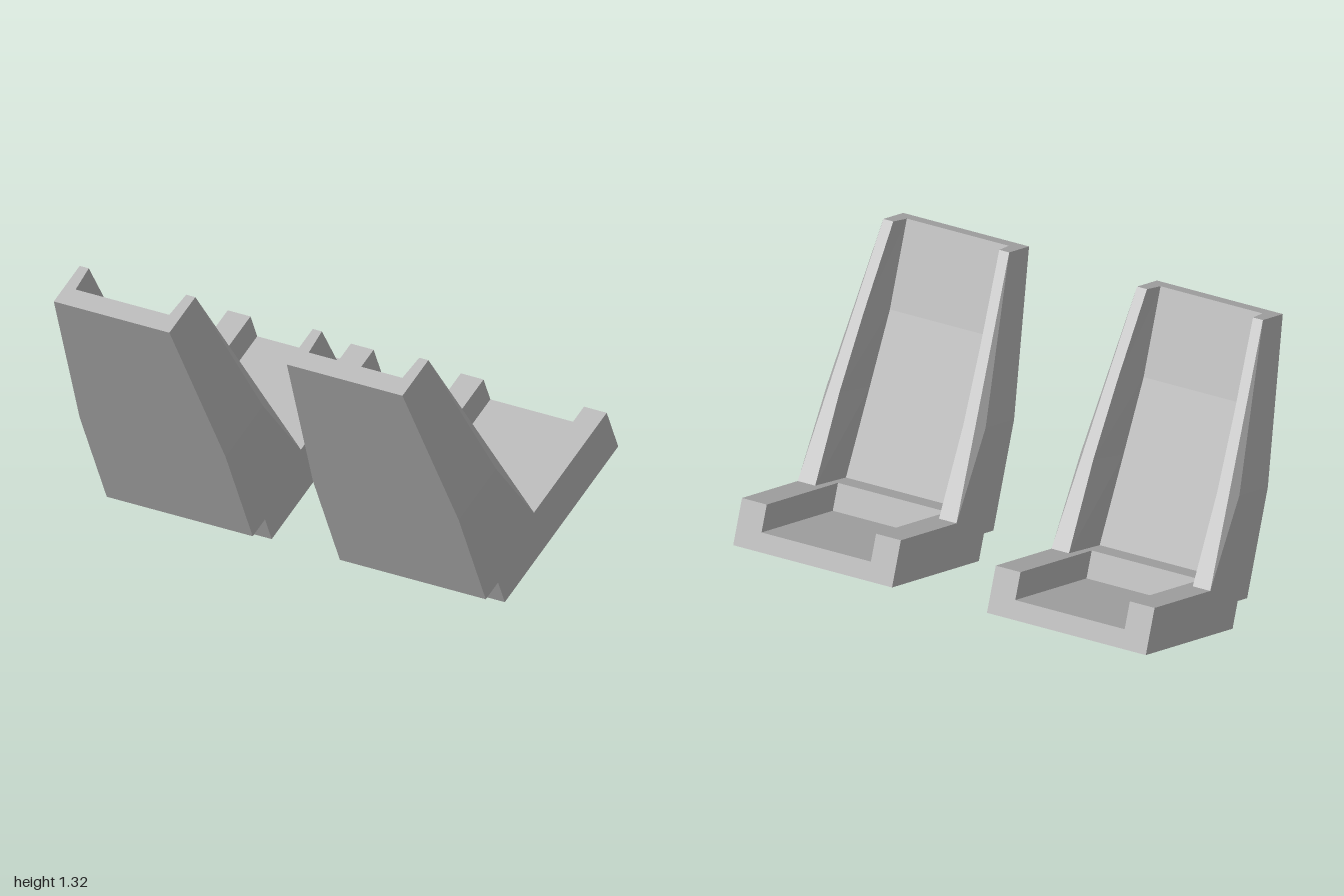
import * as THREE from 'three';

const TILT = THREE.MathUtils.degToRad(25);
const FOOT_H = 0.215, FOOT_L = 0.988, HALF_W = 0.385;

// Upright cross-sections: height, outer front half width, side kink [x, depth],
// wall rim outer x, rim depth, rim inner x, plate corner x, plate depth
const SECTIONS = [
  [FOOT_H, 0.385, 0.385, 0.352, 0.385, 0.354, 0.30, 0.29, 0.028],
  [0.632, 0.385, 0.385, 0.218, 0.357, 0.271, 0.30, 0.266, 0.007],
  [0.986, 0.348, 0.348, 0.172, 0.333, 0.201, 0.284, 0.247, -0.012],
  [1.40, 0.305, 0.305, 0.119, 0.305, 0.119, 0.257, 0.247, -0.012],
];
const FRONT = -0.107;

// U-shaped ring of [x, depth] points, mirrored left to right
function ring([, wf, px, pv, rx, rv, ix, jx, jv]) {
  const half = [[wf, FRONT], [px, pv], [rx, rv], [ix, rv], [jx, jv]];
  return half.concat(half.slice().reverse().map(([x, v]) => [-x, v]));
}

function uprightGeometry() {
  const rings = SECTIONS.map(ring), n = rings[0].length, pos = [];
  const put = (i, j) => {
    const [x, v] = rings[i][j % n];
    pos.push(x, SECTIONS[i][0], -v);
  };
  for (let i = 0; i < rings.length - 1; i++) {
    for (let j = 0; j < n; j++) {
      put(i, j); put(i, j + 1); put(i + 1, j + 1);
      put(i, j); put(i + 1, j + 1); put(i + 1, j);
    }
  }
  // Top end cap
  const top = rings.length - 1;
  const outline = rings[top].map(([x, v]) => new THREE.Vector2(x, v));
  for (const tri of THREE.ShapeUtils.triangulateShape(outline, [])) tri.forEach((j) => put(top, j));
  const geo = new THREE.BufferGeometry();
  geo.setAttribute('position', new THREE.Float32BufferAttribute(pos, 3));
  geo.computeVertexNormals();
  return geo;
}

// Channel with raised side rails, open at the rear end
function footGeometry(solidLength) {
  const c = 0.265, floor = 0.088;
  const shape = new THREE.Shape([
    [-HALF_W, 0], [HALF_W, 0], [HALF_W, FOOT_H], [c, FOOT_H],
    [c, floor], [-c, floor], [-c, FOOT_H], [-HALF_W, FOOT_H],
  ].map(([x, y]) => new THREE.Vector2(x, y)));
  const geo = new THREE.ExtrudeGeometry(shape, { depth: FOOT_L - solidLength, bevelEnabled: false });
  return geo.translate(0, 0, -FOOT_L);
}

function block(y0, y1, z0, z1) {
  return new THREE.BoxGeometry(HALF_W * 2, y1 - y0, z1 - z0).translate(0, (y0 + y1) / 2, (z0 + z1) / 2);
}

export function createModel() {
  const grey = new THREE.MeshStandardMaterial({ color: 0xb2b2b2, flatShading: true });
  grey.name = 'grey';
  const solid = 0.177;
  const parts = {
    upright: uprightGeometry(),
    footChannel: footGeometry(solid),
    heelBlock: block(0, FOOT_H, -solid, 0),
    frontLip: block(0.126, FOOT_H, 0, -FRONT),
  };

  // Two identical tilted brackets side by side
  const model = new THREE.Group();
  model.name = 'bracketPair';
  for (const side of [-1, 1]) {
    const bracket = new THREE.Group();
    bracket.name = side > 0 ? 'leftBracket' : 'rightBracket';
    for (const [name, geo] of Object.entries(parts)) {
      const mesh = new THREE.Mesh(geo, grey);
      mesh.name = name;
      bracket.add(mesh);
    }
    bracket.rotation.x = TILT;
    bracket.position.set(side * 0.615, 0, 0.105);
    model.add(bracket);
  }
  return model;
}
